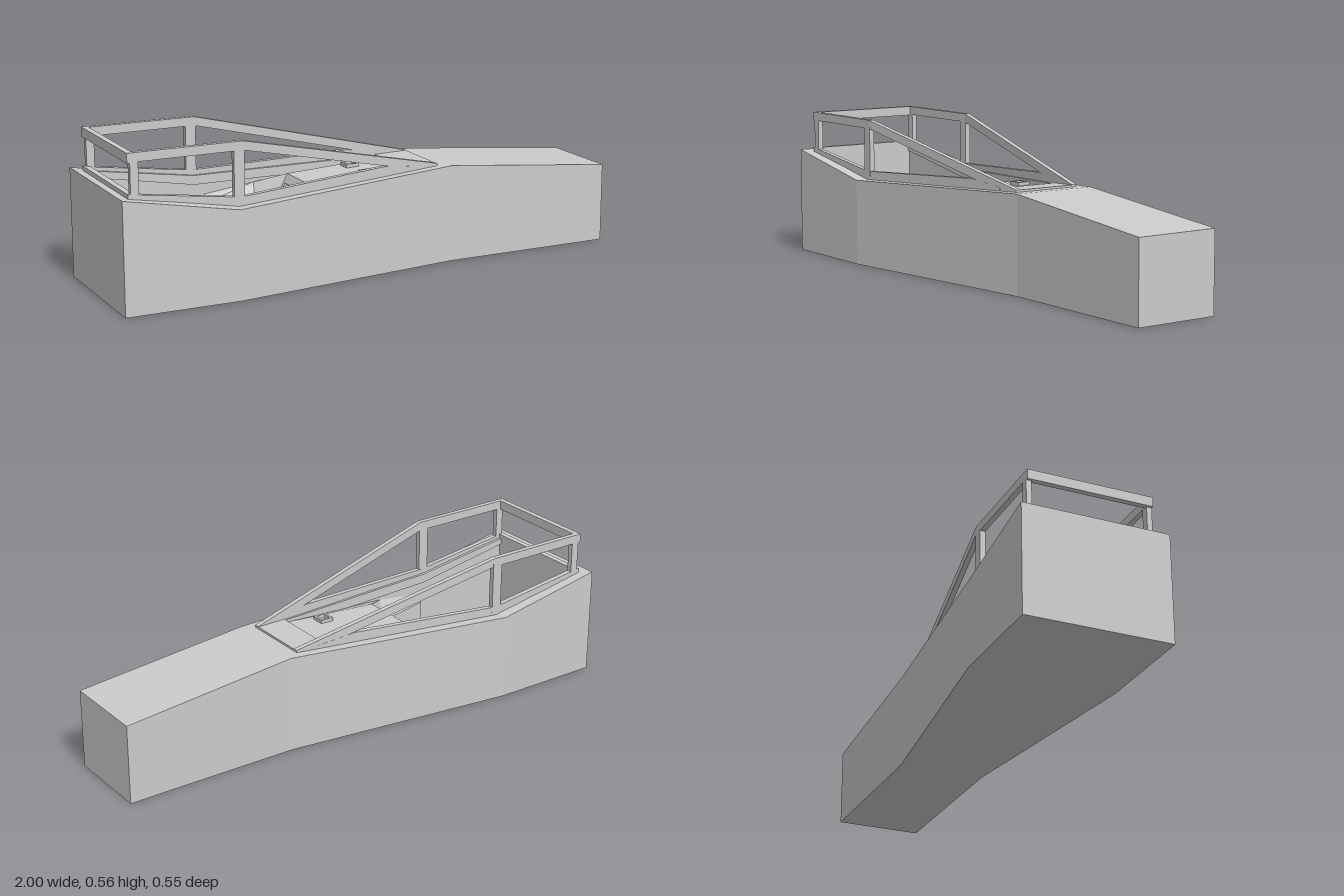
import * as THREE from 'three';

const material = new THREE.MeshStandardMaterial({ color: 0xcccccc, flatShading: true, side: THREE.DoubleSide });

function add(parent, name, geometry, x = 0, y = 0, z = 0) {
  const mesh = new THREE.Mesh(geometry, material);
  mesh.name = name;
  mesh.position.set(x, y, z);
  parent.add(mesh);
  return mesh;
}

// Flat-shaded surface from four-cornered faces
function quads(faces) {
  const pos = [];
  for (const [a, b, c, d] of faces) pos.push(...a, ...b, ...c, ...a, ...c, ...d);
  const g = new THREE.BufferGeometry();
  g.setAttribute('position', new THREE.Float32BufferAttribute(pos, 3));
  g.computeVertexNormals();
  return g;
}

// Faces between neighbouring sections, each a list of corners
function bridge(sections, closed) {
  const faces = [];
  for (let i = 0; i + 1 < sections.length; i++) {
    const a = sections[i], b = sections[i + 1], n = a.length;
    for (let j = 0; j < (closed ? n : n - 1); j++) {
      const k = (j + 1) % n;
      faces.push([a[j], a[k], b[k], b[j]]);
    }
  }
  return faces;
}

// Rail of rectangular section; stations are [x, outer z, top y, bottom y]
function rail(stations, side, width = 0.02) {
  const s = stations.map(([x, z, t, b]) => [
    [x, t, side * z], [x, b, side * z], [x, b, side * (z - width)], [x, t, side * (z - width)],
  ]);
  if (side < 0) s.forEach((r) => r.reverse());
  return quads([...bridge(s, true), [...s[0]].reverse(), s[s.length - 1]]);
}

function createModel() {
  const model = new THREE.Group();
  model.name = 'cockpitSection';

  // Hull: side walls, floor and end caps, [x, half width, top y]
  const hull = [[-1, 0.275, 0.41], [-0.57, 0.275, 0.33], [0.33, 0.165, 0.367], [1, 0.165, 0.3]];
  const shell = hull.map(([x, w, y]) => [[x, y, w], [x, 0, w], [x, 0, -w], [x, y, -w]]);
  add(model, 'hull', quads([...bridge(shell, false).map((f) => f.reverse()), shell[0], [...shell[3]].reverse()]));
  add(model, 'noseDeck', quads([[shell[2][0], shell[3][0], shell[3][3], shell[2][3]]]));

  // Deck around the cockpit opening and the tub below it
  const opening = [[-0.945, 0.213, 0.4], [-0.55, 0.213, 0.332], [0.2, 0.128, 0.362]];
  const loop = (list) => [
    ...list.map(([x, w, y]) => [x, y, w]),
    ...[...list].reverse().map(([x, w, y]) => [x, y, -w]),
  ];
  const rim = loop(opening);
  const floorY = 0.1;
  const sunk = rim.map(([x, , z]) => [x, floorY, z]);
  add(model, 'cockpitDeck', quads(bridge([loop(hull.slice(0, 3)), rim], true)));
  add(model, 'tubWalls', quads(bridge([rim, sunk], true)));
  add(model, 'tubFloor', quads([
    [sunk[0], sunk[1], sunk[4], sunk[5]],
    [sunk[1], sunk[2], sunk[3], sunk[4]],
  ]));

  // Canopy frame, mirrored left and right
  const canopy = new THREE.Group();
  canopy.name = 'canopyFrame';
  model.add(canopy);
  const upper = [[-0.965, 0.235, 0.563, 0.53], [-0.54, 0.235, 0.563, 0.53], [0.285, 0.135, 0.374, 0.342]];
  const lower = [[-0.965, 0.235, 0.42, 0.37], [-0.55, 0.235, 0.364, 0.315], [0.05, 0.164, 0.393, 0.33], [0.2, 0.146, 0.375, 0.33]];
  const ledge = [[-0.945, 0.218, 0.405, 0.38], [-0.55, 0.218, 0.345, 0.31], [0.2, 0.133, 0.365, 0.33]];
  for (const side of [1, -1]) {
    add(canopy, 'upperRail', rail(upper, side));
    add(canopy, 'lowerRail', rail(lower, side));
    add(canopy, 'innerLedge', rail(ledge, side, 0.014));
    add(canopy, 'rearPost', new THREE.BoxGeometry(0.03, 0.16, 0.02), -0.94, 0.47, side * 0.225);
    add(canopy, 'middlePost', new THREE.BoxGeometry(0.04, 0.2, 0.02), -0.555, 0.445, side * 0.225);
  }
  add(canopy, 'rearTopBar', new THREE.BoxGeometry(0.022, 0.036, 0.47), -0.954, 0.545, 0);
  add(canopy, 'rearSill', new THREE.BoxGeometry(0.022, 0.05, 0.47), -0.954, 0.395, 0);
  add(canopy, 'frontPlate', quads([
    [[0.16, 0.366, 0.145], [0.285, 0.373, 0.135], [0.285, 0.373, -0.135], [0.16, 0.366, -0.145]],
    [[0.16, 0.345, 0.145], [0.16, 0.366, 0.145], [0.16, 0.366, -0.145], [0.16, 0.345, -0.145]],
    [[0.285, 0.373, 0.135], [0.285, 0.355, 0.135], [0.285, 0.355, -0.135], [0.285, 0.373, -0.135]],
  ]));

  // Wrap-around instrument panel: top edge, lower edge and foot
  const mirror = (half) => [...half, ...[...half].reverse().map(([x, y, z]) => [x, y, -z])];
  const top = mirror([[-0.51, 0.27, 0.205], [-0.32, 0.3, 0.185], [-0.22, 0.34, 0.1]]);
  const bottom = mirror([[-0.51, 0.25, 0.165], [-0.33, 0.23, 0.15], [-0.28, 0.22, 0.1]]);
  const foot = bottom.map(([x, , z]) => [x, 0.17, z]);
  add(model, 'instrumentPanel', quads(bridge([top, bottom, foot], false)));
  for (const i of [0, 5]) {
    const wall = [top[i][0], 0.17, top[i][2]];
    add(model, 'panelEnd', quads([[top[i], bottom[i], foot[i], wall]]));
  }

  // Cover running forward from the panel to the windscreen base
  add(model, 'panelCover', quads([
    [top[2], [0.2, 0.355, 0.128], [0.2, 0.355, -0.128], top[3]],
    [top[1], [0.2, 0.355, 0.128], top[2], top[2]],
    [top[4], top[3], [0.2, 0.355, -0.128], top[4]],
    [top[1], [-0.32, 0.3, 0.187], [0.2, 0.355, 0.128], top[1]],
  ]));

  // Square hollow sockets on the cover
  for (const side of [1, -1]) {
    const frame = new THREE.Shape([[-1, -1], [1, -1], [1, 1], [-1, 1]].map(([a, b]) => new THREE.Vector2(a * 0.026, b * 0.026)));
    frame.holes.push(new THREE.Path([[-1, -1], [-1, 1], [1, 1], [1, -1]].map(([a, b]) => new THREE.Vector2(a * 0.017, b * 0.017))));
    const g = new THREE.ExtrudeGeometry(frame, { depth: 0.022, bevelEnabled: false }).rotateX(-Math.PI / 2);
    add(model, 'coverSocket', g, 0.025, 0.34, side * 0.072);
  }

  // Raised instruments on the sloping centre panel
  for (const z of [-0.06, 0, 0.06]) {
    const gauge = add(model, 'instrument', new THREE.BoxGeometry(0.006, 0.06, 0.04), -0.251, 0.282, z);
    gauge.rotation.z = -Math.atan2(0.06, 0.12);
  }

  // Control column with a small cross handle
  const shaft = add(model, 'controlColumn', new THREE.CylinderGeometry(0.004, 0.004, 0.07, 8), -0.3, 0.235, 0);
  shaft.rotation.z = Math.PI / 2;
  add(model, 'controlGrip', new THREE.BoxGeometry(0.012, 0.025, 0.022), -0.335, 0.238, 0);

  return model;
}

export { createModel };
